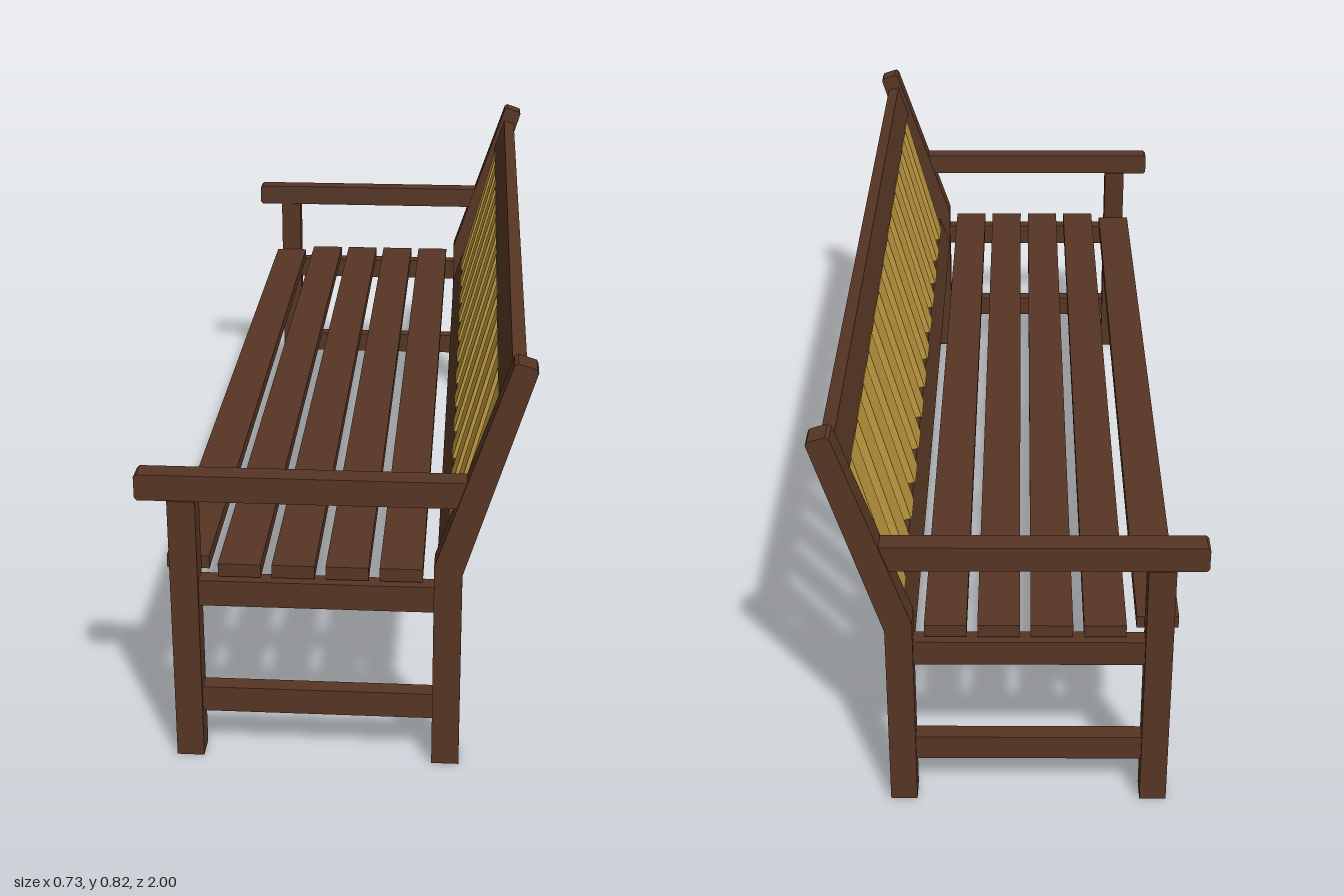
import * as THREE from 'three';

export function createModel() {
  const bench = new THREE.Group();
  bench.name = 'bench';
  const darkWood = new THREE.MeshStandardMaterial({ color: 0x573624 });
  darkWood.name = 'dark wood';
  const paleWood = new THREE.MeshStandardMaterial({ color: 0xc09a40 });
  paleWood.name = 'pale wood';

  const add = (name, geometry, material = darkWood) => {
    const mesh = new THREE.Mesh(geometry, material);
    mesh.name = name;
    bench.add(mesh);
    return mesh;
  };

  // Box given by its limits on each axis
  const box = (name, x0, x1, y0, y1, z0, z1) =>
    add(name, new THREE.BoxGeometry(x1 - x0, y1 - y0, z1 - z0))
      .position.set((x0 + x1) / 2, (y0 + y1) / 2, (z0 + z1) / 2);

  // Side profile in x, y, extruded between two z values
  const profile = (name, points, z0, z1) => {
    const shape = new THREE.Shape(points.map(([x, y]) => new THREE.Vector2(x, y)));
    const geometry = new THREE.ExtrudeGeometry(shape, { depth: z1 - z0, bevelEnabled: false });
    add(name, geometry).position.z = z0;
  };

  // Bent rear post with softened top corners, and armrest with chamfered front
  const postPoints = [[0.185, 0], [0.237, 0], [0.237, 0.405], [0.363, 0.808],
    [0.36, 0.814], [0.327, 0.825], [0.32, 0.821], [0.185, 0.422]];
  const armPoints = [[-0.36, 0.539], [0.25, 0.539], [0.25, 0.59], [-0.36, 0.59],
    [-0.365, 0.585], [-0.365, 0.544]];

  // End frames
  for (const [side, s] of [['left', -1], ['right', 1]]) {
    const span = (a, b) => (s > 0 ? [a, b] : [-b, -a]);
    box(side + ' frontLeg', -0.305, -0.253, 0, 0.54, ...span(0.95, 1));
    profile(side + ' rearPost', postPoints, ...span(0.95, 1));
    profile(side + ' armrest', armPoints, ...span(0.953, 0.996));
    box(side + ' lowerSideRail', -0.255, 0.187, 0.095, 0.147, ...span(0.958, 0.992));
    box(side + ' seatSideRail', -0.255, 0.187, 0.323, 0.375, ...span(0.958, 0.992));
  }

  // Seat slats; the front one fits between the legs
  for (let i = 0; i < 5; i++) {
    const x = -0.318 + i * 0.1005;
    const end = i === 0 ? 0.95 : 0.98;
    box('seatSlat', x, x + 0.08, 0.379, 0.405, -end, end);
  }

  // Tilted back rails
  const tilt = -Math.atan(0.32);
  for (const [name, x, y] of [['lowerBackRail', 0.212, 0.358], ['topBackRail', 0.32, 0.748]]) {
    const rail = add(name, new THREE.BoxGeometry(0.028, 0.08, 1.9));
    rail.position.set(x, y, 0);
    rail.rotation.z = tilt;
  }

  // Upright back slats running between the rails
  const slatGeometry = new THREE.BoxGeometry(0.031, 0.335, 0.08);
  for (let i = -6; i <= 6; i++) {
    const slat = add('backSlat', slatGeometry, paleWood);
    slat.position.set(0.266, 0.553, i * 0.1415);
    slat.rotation.z = -Math.atan(0.27);
  }

  return bench;
}
